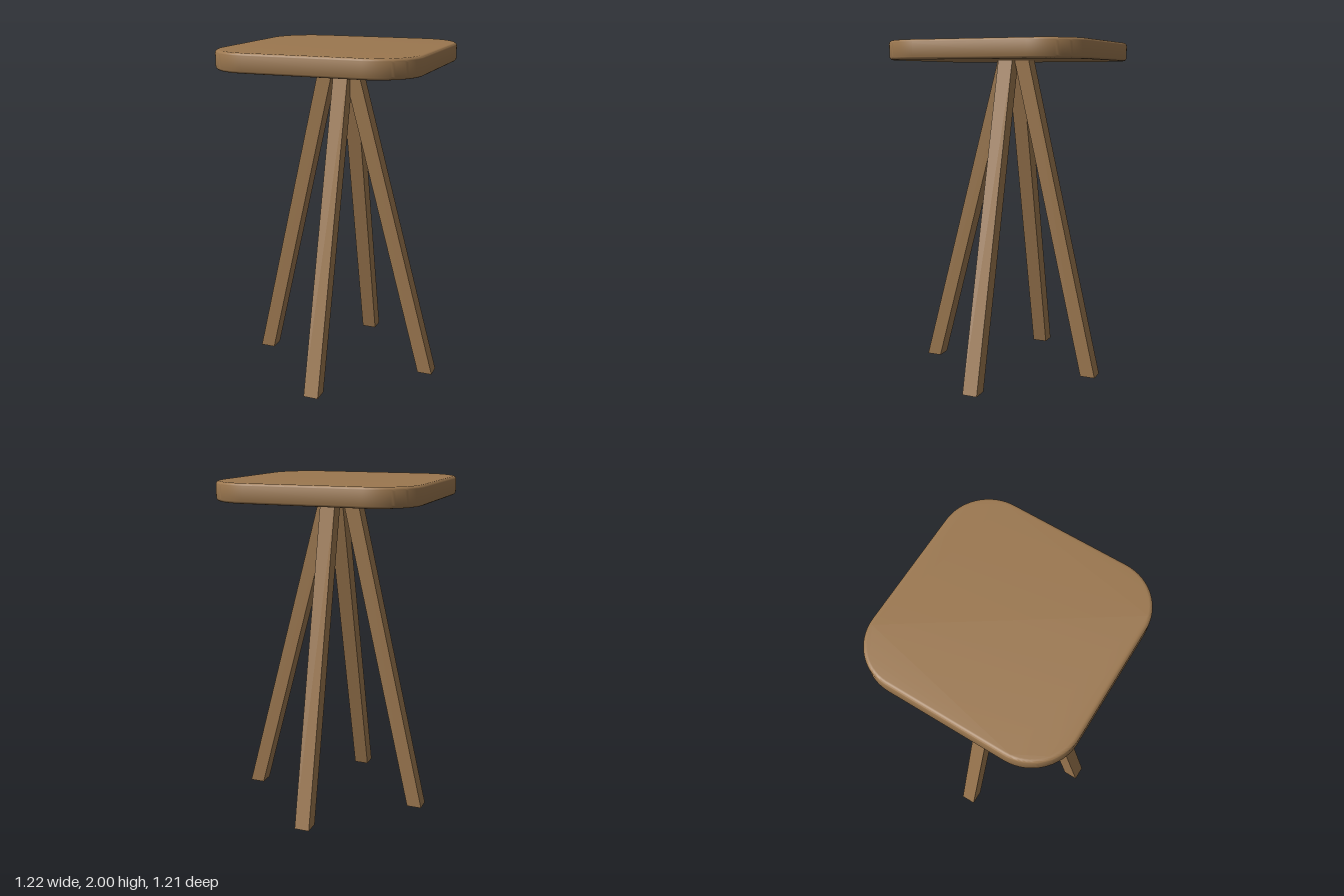
import * as THREE from 'three';
import { toCreasedNormals } from 'three/addons/utils/BufferGeometryUtils.js';

const SEAT_BOTTOM = 1.89;
const LEG = 0.09; // leg thickness

// Rounded-square slab with softened top and bottom edges
function seatGeometry(w, d, h, r, bevel) {
  const x = w / 2 - bevel, y = d / 2 - bevel, c = r - bevel;
  const s = new THREE.Shape();
  s.moveTo(-x + c, -y);
  s.lineTo(x - c, -y);
  s.absarc(x - c, -y + c, c, -Math.PI / 2, 0);
  s.lineTo(x, y - c);
  s.absarc(x - c, y - c, c, 0, Math.PI / 2);
  s.lineTo(-x + c, y);
  s.absarc(-x + c, y - c, c, Math.PI / 2, Math.PI);
  s.lineTo(-x, -y + c);
  s.absarc(-x + c, -y + c, c, Math.PI, Math.PI * 1.5);
  const geo = new THREE.ExtrudeGeometry(s, {
    depth: h - 2 * bevel, bevelEnabled: true, bevelThickness: bevel,
    bevelSize: bevel, bevelSegments: 5, curveSegments: 16,
  });
  geo.rotateX(-Math.PI / 2);
  geo.translate(0, bevel, 0);
  return toCreasedNormals(geo, 0.6);
}

// Square leg sheared between its foot and top centres, with level ends
function legGeometry([fx, fz], [tx, tz]) {
  const height = SEAT_BOTTOM + 0.005;
  const geo = new THREE.BoxGeometry(LEG, height, LEG);
  geo.translate(0, height / 2, 0);
  const p = geo.attributes.position;
  for (let i = 0; i < p.count; i++) {
    const t = p.getY(i) / SEAT_BOTTOM;
    p.setX(i, p.getX(i) + fx + (tx - fx) * t);
    p.setZ(i, p.getZ(i) + fz + (tz - fz) * t);
  }
  geo.computeVertexNormals();
  return geo;
}

export function createModel() {
  const wood = new THREE.MeshStandardMaterial({ color: 0x9b774f });
  wood.name = 'wood';
  const stool = new THREE.Group();
  stool.name = 'stool';

  const seat = new THREE.Mesh(seatGeometry(1.205, 1.205, 0.11, 0.265, 0.02), wood);
  seat.name = 'seat';
  seat.position.set(-0.01, SEAT_BOTTOM, -0.003);
  stool.add(seat);

  // Foot and top centres as [x, z]
  const legs = {
    leftLeg: [[0.565, -0.008], [0.06, -0.008]],
    rightLeg: [[-0.518, -0.008], [-0.085, -0.008]],
    frontLeg: [[0.017, 0.522], [0.017, 0.015]],
    backLeg: [[0.017, -0.53], [0.017, -0.095]],
  };
  for (const [name, [foot, top]] of Object.entries(legs)) {
    const leg = new THREE.Mesh(legGeometry(foot, top), wood);
    leg.name = name;
    stool.add(leg);
  }
  return stool;
}
